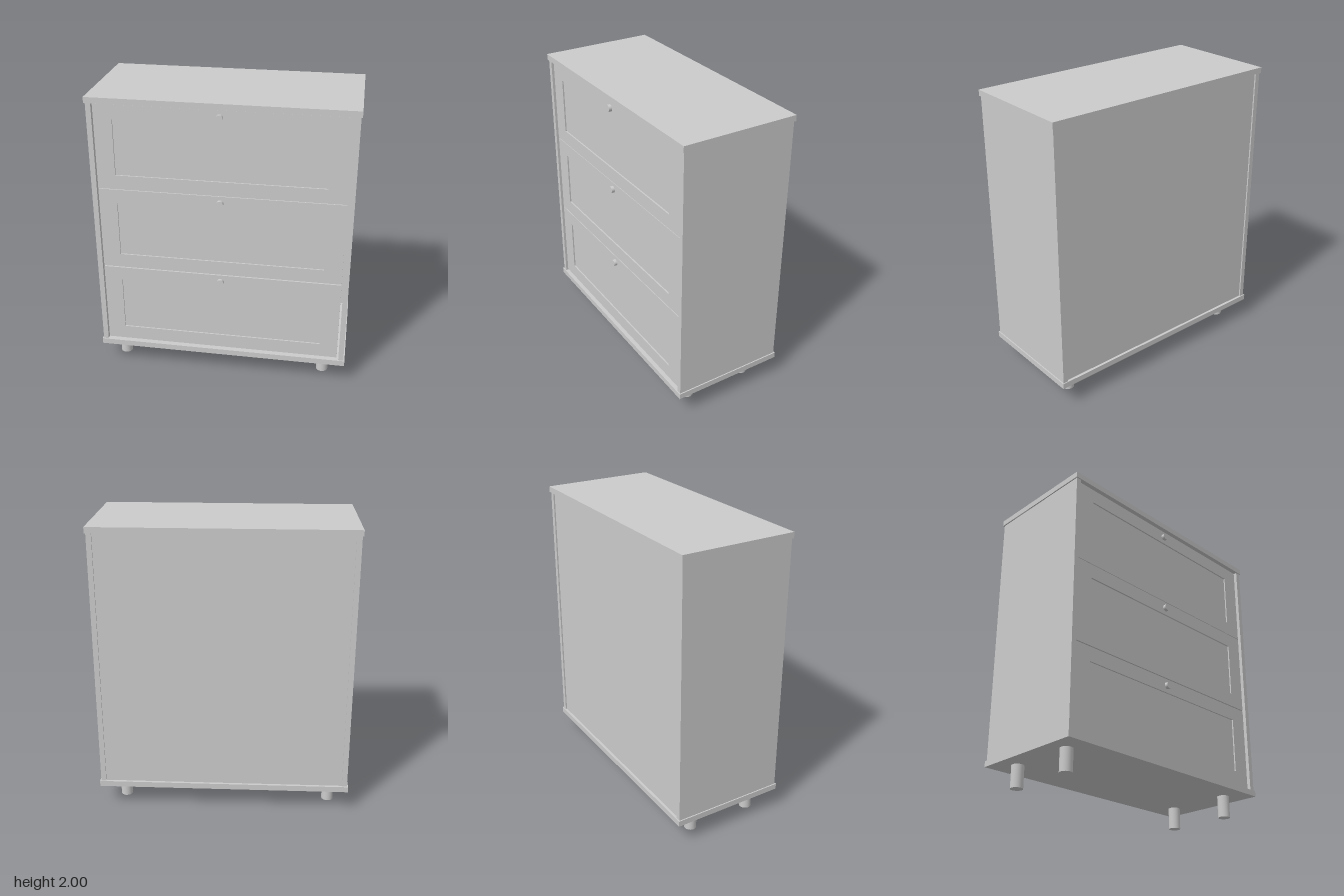
import * as THREE from 'three';

const material = new THREE.MeshStandardMaterial({ color: 0xcccccc });

function add(parent, name, geometry, x, y, z) {
  const mesh = new THREE.Mesh(geometry, material);
  mesh.name = name;
  mesh.position.set(x, y, z);
  parent.add(mesh);
  return mesh;
}

// Box given by its extents on each axis
function addBox(parent, name, [x0, x1], [y0, y1], [z0, z1]) {
  const geometry = new THREE.BoxGeometry(x1 - x0, y1 - y0, z1 - z0);
  return add(parent, name, geometry, (x0 + x1) / 2, (y0 + y1) / 2, (z0 + z1) / 2);
}

function rectangle(Type, w, h) {
  return new Type([[-w, -h], [w, -h], [w, h], [-w, h]].map(([x, y]) => new THREE.Vector2(x / 2, y / 2)));
}

// Drawer with a framed front, a recessed panel and a round knob
function createDrawer(width, height) {
  const drawer = new THREE.Group();
  const front = 0.375, recess = 0.01;
  const panelW = width - 0.245, panelH = height - 0.197;

  const shape = rectangle(THREE.Shape, width, height);
  shape.holes.push(rectangle(THREE.Path, panelW, panelH));
  const frame = new THREE.ExtrudeGeometry(shape, { depth: 0.03, bevelEnabled: false });
  add(drawer, 'drawerFrame', frame, 0, 0, front - 0.03);

  addBox(drawer, 'drawerPanel', [-panelW / 2, panelW / 2], [-panelH / 2, panelH / 2],
    [front - 0.03, front - recess]);
  addBox(drawer, 'drawerBody', [-width / 2 + 0.02, width / 2 - 0.02],
    [-height / 2 + 0.03, height / 2 - 0.06], [-0.34, front - 0.03]);

  const knob = new THREE.CylinderGeometry(0.023, 0.023, 0.022, 32).rotateX(Math.PI / 2);
  add(drawer, 'knob', knob, 0, height / 2 - 0.048, front + 0.011);
  return drawer;
}

export function createModel() {
  const model = new THREE.Group();
  model.name = 'chestOfDrawers';

  // Carcass
  addBox(model, 'topBoard', [-0.868, 0.868], [1.96, 2], [-0.398, 0.398]);
  addBox(model, 'baseBoard', [-0.868, 0.868], [0.15, 0.19], [-0.398, 0.398]);
  addBox(model, 'rightSide', [-0.86, -0.825], [0.19, 1.96], [-0.39, 0.39]);
  addBox(model, 'leftSide', [0.825, 0.86], [0.19, 1.96], [-0.39, 0.39]);
  addBox(model, 'backPanel', [-0.825, 0.825], [0.19, 1.96], [-0.38, -0.36]);

  // Three equal drawers
  [1.662, 1.078, 0.491].forEach((y, i) => {
    const drawer = createDrawer(1.632, 0.58);
    drawer.name = `drawer${i + 1}`;
    drawer.position.set(-0.004, y, 0);
    model.add(drawer);
  });

  // Round feet
  for (const x of [-0.74, 0.71]) {
    for (const z of [-0.225, 0.235]) {
      add(model, 'foot', new THREE.CylinderGeometry(0.041, 0.041, 0.15, 32), x, 0.075, z);
    }
  }
  return model;
}
